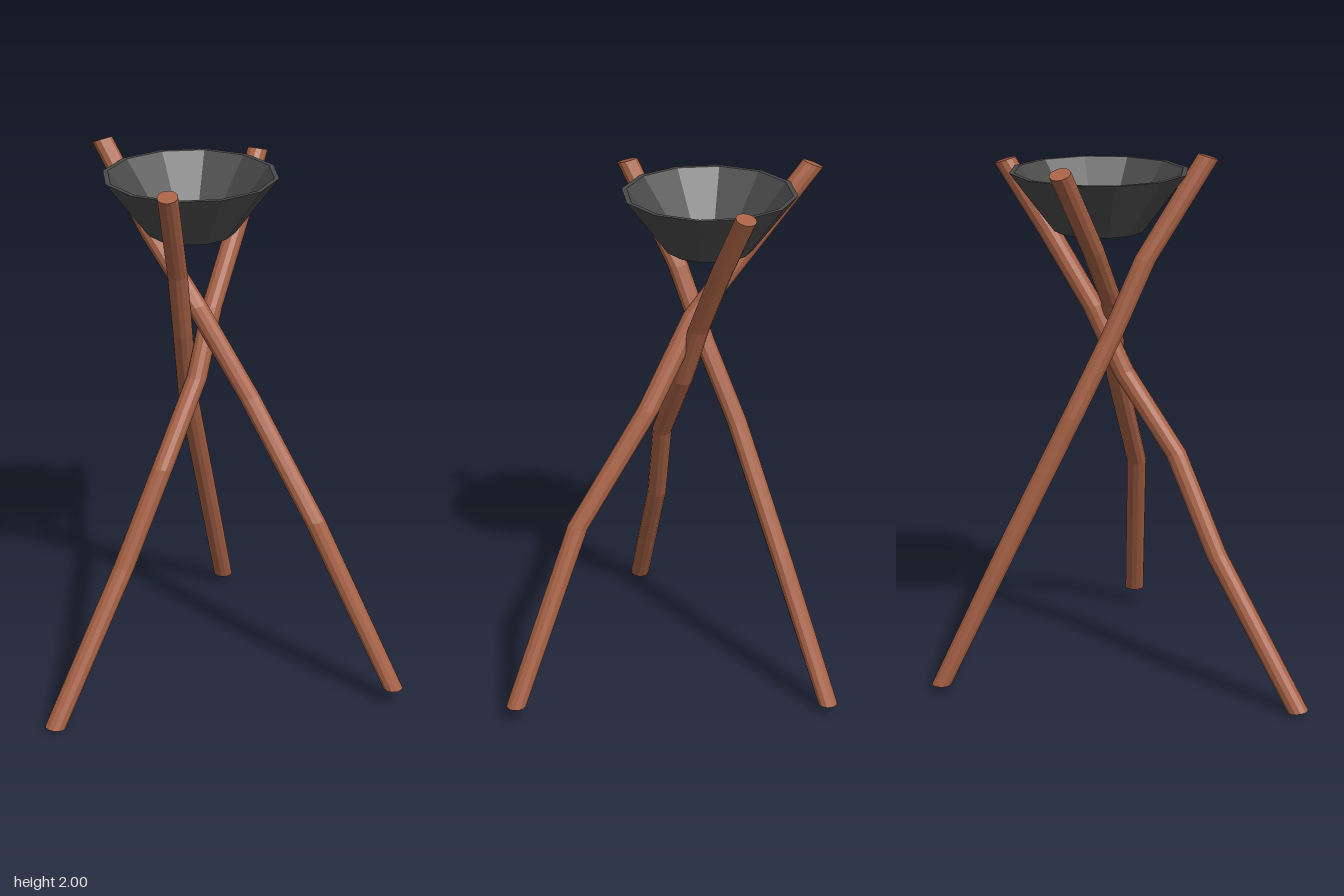
import * as THREE from 'three';

const wood = new THREE.MeshStandardMaterial({ color: 0xa86246, flatShading: true });
wood.name = 'reddish wood';
const iron = new THREE.MeshStandardMaterial({ color: 0x4a4a4a, flatShading: true });
iron.name = 'dark iron';

// Crooked pole: a cylinder whose rings are moved onto the given points, bottom to top.
// The rings lean part of the way towards the pole's direction; the foot is cut nearly level.
function makePole(name, points, footTilt) {
  const n = points.length - 1;
  const geo = new THREE.CylinderGeometry(0.037, 0.037, 1, 12, n);
  const pos = geo.attributes.position;
  for (let i = 0; i < pos.count; i++) {
    const row = Math.round((pos.getY(i) + 0.5) * n);
    const [px, py, pz] = points[row];
    const a = points[Math.max(row - 1, 0)];
    const b = points[Math.min(row + 1, n)];
    const rise = b[1] - a[1];
    const tilt = row === 0 ? footTilt : 0.5;
    const dx = pos.getX(i), dz = pos.getZ(i);
    const drop = tilt * (dx * (b[0] - a[0]) + dz * (b[2] - a[2])) / rise;
    pos.setXYZ(i, px + dx, py - drop, pz + dz);
  }
  geo.computeVertexNormals();
  const mesh = new THREE.Mesh(geo, wood);
  mesh.name = name;
  return mesh;
}

export function createModel() {
  const group = new THREE.Group();
  group.name = 'tripodBrazier';

  // Three crossing poles
  group.add(
    makePole('frontRightPole', [
      [-0.605, 0.01, 0.625], [-0.39, 0.55, 0.365], [-0.265, 0.9, 0.24], [-0.165, 1.19, 0.065],
      [-0.125, 1.43, -0.04], [-0.055, 1.7, -0.19], [0, 1.945, -0.335],
    ], 0.3),
    makePole('leftPole', [
      [0.597, 0.07, 0.26], [0.29, 0.71, 0.205], [0.03, 1.13, 0.075], [-0.17, 1.45, 0.02],
      [-0.35, 1.68, -0.08], [-0.557, 1.985, -0.228],
    ], 0),
    makePole('backPole', [
      [-0.18, 0.035, -0.617], [-0.208, 0.55, -0.375], [-0.235, 1.05, -0.135],
      [-0.225, 1.34, 0.01], [-0.22, 1.61, 0.13], [-0.21, 1.97, 0.357],
    ], 0),
  );

  // Twelve-sided fire bowl with a flat floor and a thin rim
  const profile = [
    [0, 1.72], [0.16, 1.72], [0.318, 1.93], [0.3, 1.93], [0.143, 1.735], [0, 1.735],
  ].map(([r, y]) => new THREE.Vector2(r, y));
  const bowl = new THREE.Mesh(new THREE.LatheGeometry(profile, 12), iron);
  bowl.name = 'fireBowl';
  bowl.position.set(-0.197, 0, -0.03);
  group.add(bowl);

  return group;
}
